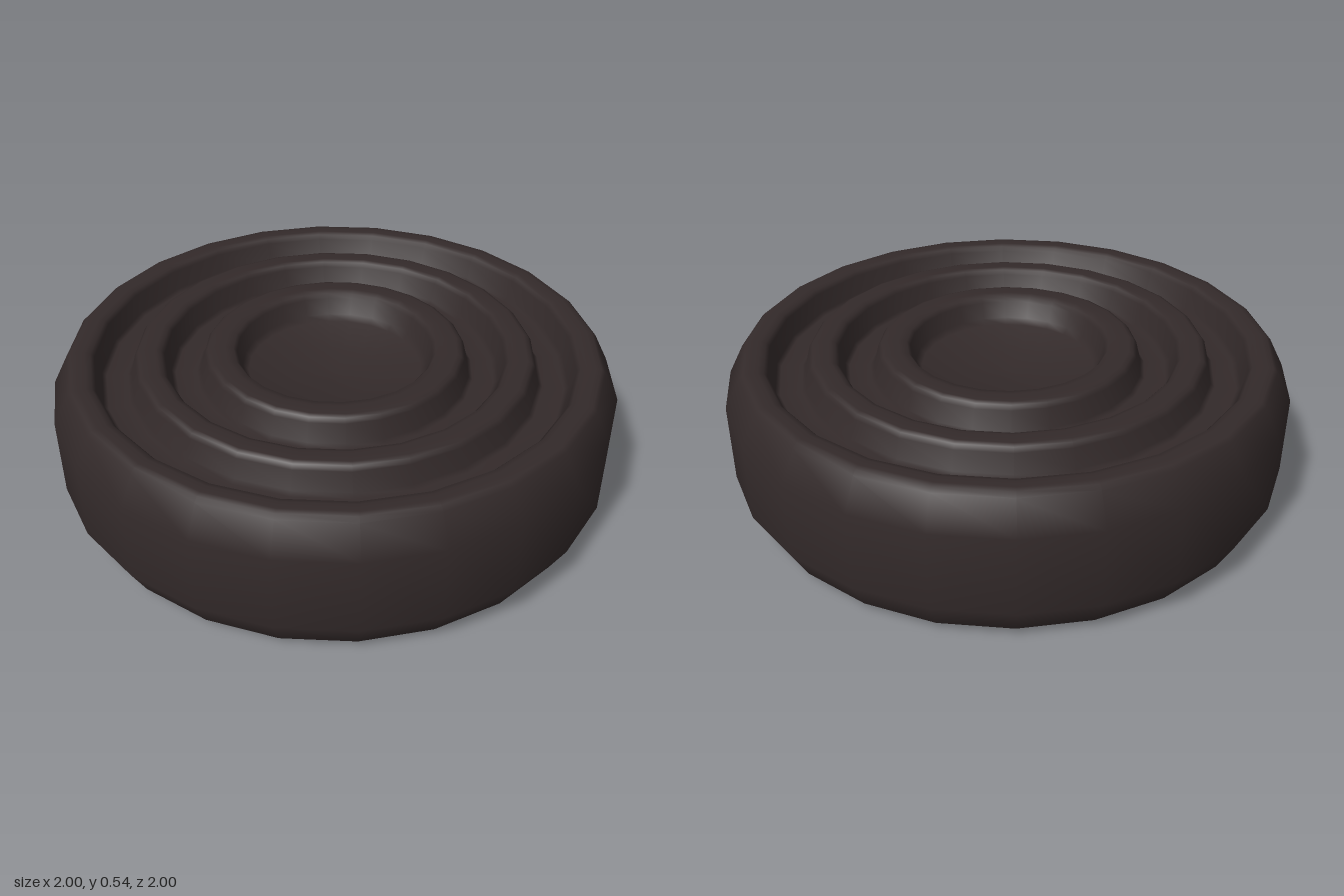
import * as THREE from 'three';

const SIDES = 24;

// Turns [radius, height] pairs, listed from the bottom centre outward, up and back in
function turned(name, profile, material) {
  const points = profile.map(([r, y]) => new THREE.Vector2(r, y));
  const mesh = new THREE.Mesh(new THREE.LatheGeometry(points, SIDES), material);
  mesh.name = name;
  return mesh;
}

export function createModel() {
  const darkBody = new THREE.MeshStandardMaterial({ color: 0x332a2a });
  darkBody.name = 'darkBrown';
  const padPink = new THREE.MeshStandardMaterial({ color: 0xd9ae9e });
  padPink.name = 'paleBrown';

  const top = 0.54, floor = 0.44;

  // Outer wall with bevelled shoulders
  const body = [
    [0, 0.02], [0.9, 0.02], [0.93, 0.022], [0.945, 0.035],
    [1, 0.14], [1, 0.42],
    [0.945, 0.525], [0.93, 0.538], [0.91, top], [0.88, top],
  ];
  // Two concentric grooves, each followed by a raised ring
  for (const r of [0.86, 0.615]) {
    body.push(
      [r, top - 0.006], [r - 0.012, top - 0.02], [r - 0.03, floor + 0.012], [r - 0.045, floor],
      [r - 0.12, floor], [r - 0.135, floor + 0.012], [r - 0.153, top - 0.02],
      [r - 0.165, top - 0.006], [r - 0.18, top], [r - 0.228, top],
    );
  }
  // Shallow dish in the middle
  body.push([0.36, top - 0.006], [0.348, top - 0.02], [0.33, floor + 0.02],
    [0.31, floor], [0.15, floor - 0.035], [0.03, floor - 0.045], [0, floor - 0.045]);

  const model = new THREE.Group();
  model.name = 'ringedDisc';
  model.add(turned('body', body, darkBody));
  // Thin base pad with a slanted edge
  model.add(turned('basePad',
    [[0, 0], [0.825, 0], [0.84, 0.001], [0.858, 0.02], [0.858, 0.024]], padPink));
  return model;
}
